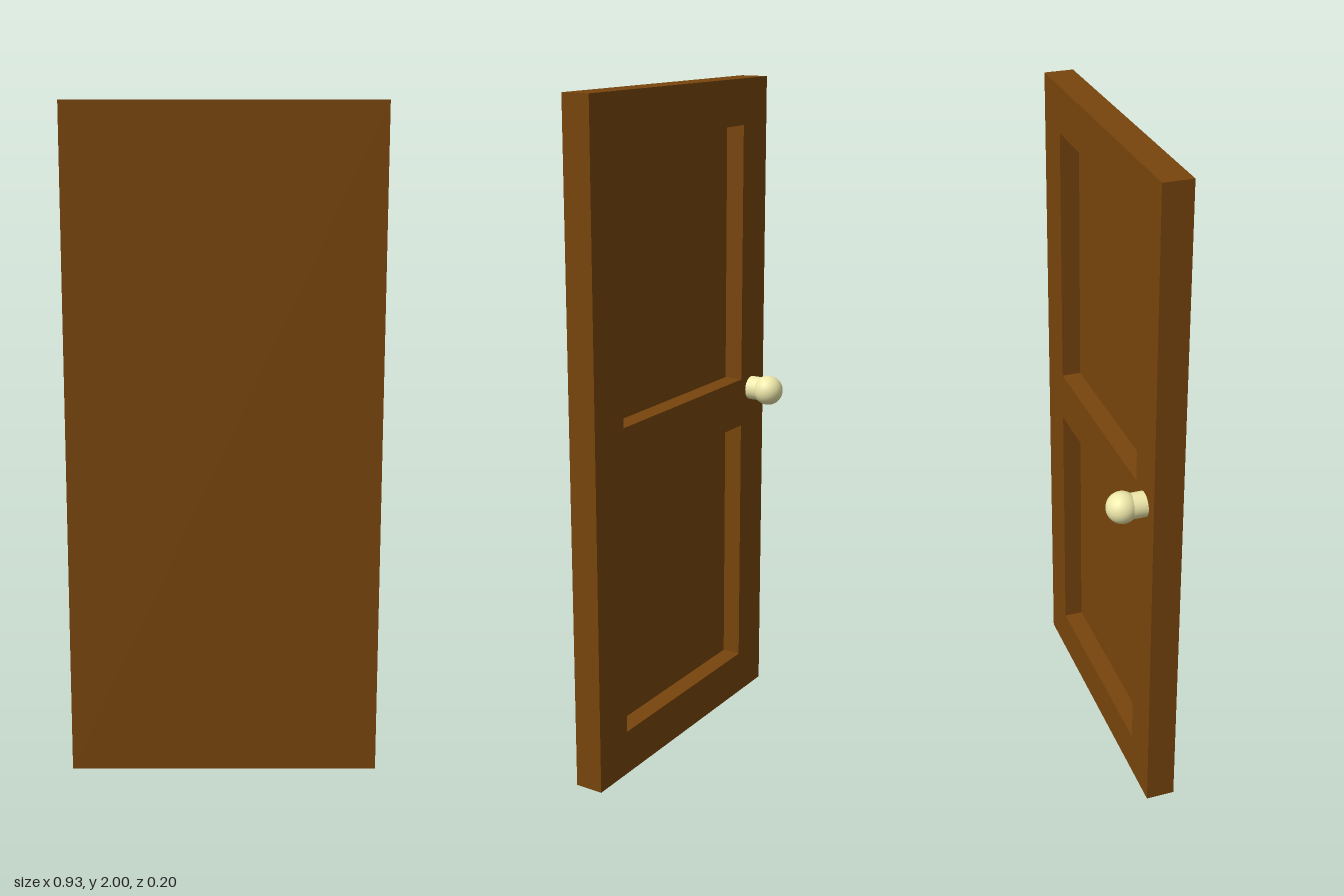
import * as THREE from 'three';

const W = 0.925, H = 2;             // door width and height
const BACK = 0.01, FRONT = 0.097;   // z of the two faces
const RECESS = 0.058;               // depth of the sunken panels
const PANEL_HALF = 0.326;
const PANELS = [[0.137, 0.925], [1.075, 1.863]]; // bottom and top of each panel

// Rectangle traced on a Shape or Path
function rect(path, x0, y0, x1, y1) {
  path.moveTo(x0, y0);
  path.lineTo(x1, y0);
  path.lineTo(x1, y1);
  path.lineTo(x0, y1);
  path.closePath();
  return path;
}

export function createModel() {
  const group = new THREE.Group();
  group.name = 'door';
  const wood = new THREE.MeshStandardMaterial({ color: 0x78450c });
  const brass = new THREE.MeshStandardMaterial({ color: 0xeee8aa });

  const add = (parent, name, geometry, material, x, y, z) => {
    const mesh = new THREE.Mesh(geometry, material);
    mesh.name = name;
    mesh.position.set(x, y, z);
    parent.add(mesh);
    return mesh;
  };

  // Plain front slab, which is also the floor of the recessed panels
  const slab = FRONT - BACK - RECESS;
  add(group, 'slab', new THREE.BoxGeometry(W, H, slab), wood, 0, H / 2, FRONT - slab / 2);

  // Stiles and rails on the back, with two panel openings
  const outline = rect(new THREE.Shape(), -W / 2, 0, W / 2, H);
  for (const [y0, y1] of PANELS) {
    outline.holes.push(rect(new THREE.Path(), -PANEL_HALF, y0, PANEL_HALF, y1));
  }
  const frame = new THREE.ExtrudeGeometry(outline, { depth: RECESS, bevelEnabled: false });
  add(group, 'panelFrame', frame, wood, 0, 0, BACK);

  // Round knob on a short neck, on the back face
  const knob = new THREE.Group();
  knob.name = 'doorKnob';
  knob.position.set(-0.386, 1.036, 0);
  group.add(knob);
  const neck = new THREE.CylinderGeometry(0.037, 0.037, 0.06, 32).rotateX(Math.PI / 2);
  add(knob, 'knobNeck', neck, brass, -0.002, 0, -0.015);
  add(knob, 'knobBall', new THREE.SphereGeometry(0.046, 32, 20), brass, 0.001, 0, -0.054);

  return group;
}
